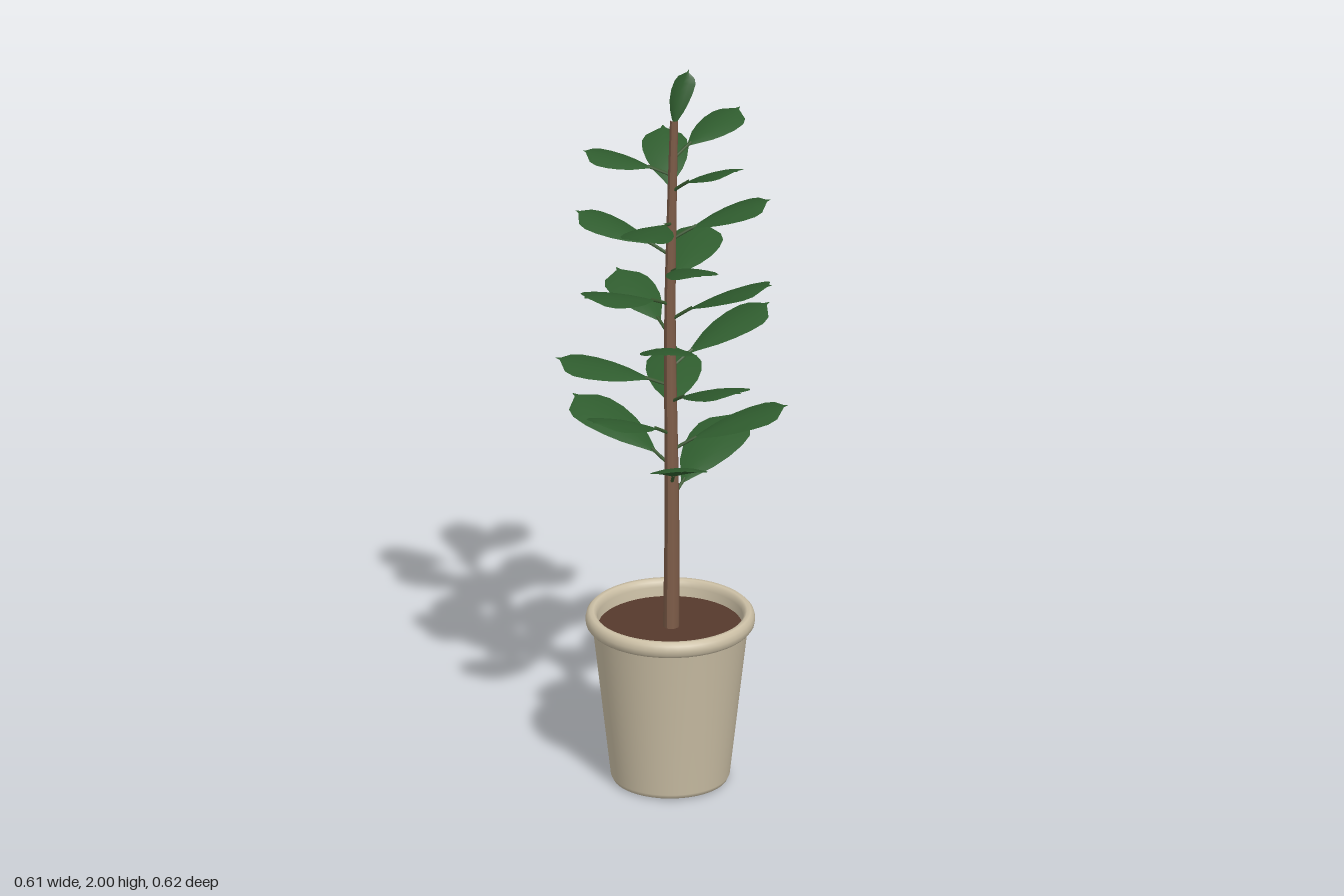
import * as THREE from 'three';

const mat = (color, side = THREE.FrontSide) => new THREE.MeshStandardMaterial({ color, side, roughness: 0.8 });
const V = (x, y, z) => new THREE.Vector3(x, y, z);
const CX = 0.02, CZ = 0.02; // axis of the pot

// Leaf tips, spiralling up the stem by the golden angle
const LEAF_TIPS = [
  [0.015, 0.91, -0.315], [0.215, 1.01, 0.275], [-0.305, 1.0, -0.02], [0.27, 1.05, -0.16],
  [-0.04, 1.1, 0.305], [-0.135, 1.09, -0.25], [0.305, 1.2, 0.13], [-0.26, 1.17, 0.135],
  [0.165, 1.29, -0.235], [0.165, 1.33, 0.275], [-0.23, 1.34, -0.115], [0.305, 1.45, -0.025],
  [-0.08, 1.44, 0.285], [-0.06, 1.45, -0.275], [0.225, 1.54, 0.2], [-0.24, 1.57, 0.07],
  [0.225, 1.63, -0.145], [0.085, 1.64, 0.285], [-0.135, 1.74, -0.19], [0.26, 1.8, 0.07],
  [-0.19, 1.77, 0.115], [0.08, 1.83, -0.225],
];

// Half-width of the blade along its length: [position, width]
const BLADE = [[0, 0.06], [0.1, 0.3], [0.25, 0.64], [0.42, 0.88], [0.6, 1], [0.76, 0.98], [0.86, 0.78], [0.95, 0.1], [1, 0.01]];
const ACROSS = [-1, -0.5, 0, 0.5, 1];

// Blade lofted along part of a curve, with raised edges
function bladeGeometry(curve, start, halfWidth, side, lift) {
  const pos = [], index = [], n = ACROSS.length;
  BLADE.forEach(([s, w], i) => {
    const t = start + (1 - start) * s;
    const p = curve.getPoint(t);
    const up = side.clone().cross(curve.getTangent(t)).normalize();
    for (const u of ACROSS) {
      const q = p.clone().addScaledVector(side, u * w * halfWidth).addScaledVector(up, lift * u * u * w);
      pos.push(q.x, q.y, q.z);
    }
    if (i === 0) return;
    for (let j = 0; j < n - 1; j++) {
      const a = (i - 1) * n + j, b = a + n;
      index.push(a, b, a + 1, a + 1, b, b + 1);
    }
  });
  const g = new THREE.BufferGeometry();
  g.setAttribute('position', new THREE.Float32BufferAttribute(pos, 3));
  g.setIndex(index);
  g.computeVertexNormals();
  return g;
}

export function createModel() {
  const model = new THREE.Group();
  const add = (name, geometry, material, parent = model) => {
    const m = new THREE.Mesh(geometry, material);
    m.name = name;
    parent.add(m);
    return m;
  };
  const clay = mat(0xcbbfa5), earth = mat(0x56392c), bark = mat(0x7d5c48);
  const leafMat = mat(0x2f5c2e, THREE.DoubleSide), petioleMat = mat(0x3a5a30);

  // Tapered pot with a rounded rim
  const profile = [
    [0, 0], [0.14, 0], [0.15, 0.004], [0.155, 0.015], [0.202, 0.43], [0.212, 0.432], [0.219, 0.44],
    [0.221, 0.453], [0.218, 0.466], [0.21, 0.474], [0.2, 0.474], [0.193, 0.468], [0.19, 0.455], [0.186, 0.41],
  ].map(([r, y]) => new THREE.Vector2(r, y));
  add('pot', new THREE.LatheGeometry(profile, 48), clay).position.set(CX, 0, CZ);

  // Soil
  const soil = add('soil', new THREE.CircleGeometry(0.19, 40), earth);
  soil.rotation.x = -Math.PI / 2;
  soil.position.set(CX, 0.43, CZ);

  // Slightly bent stem, tapered by drawing its rings toward the centre line
  const stemCurve = new THREE.CatmullRomCurve3([
    V(0.023, 0.42, 0.02), V(0.025, 0.75, 0.02), V(0.016, 1.3, 0.015), V(0.02, 1.6, 0.013), V(0.028, 1.87, 0.014),
  ]);
  const rings = 24, sides = 8;
  const stem = new THREE.TubeGeometry(stemCurve, rings, 0.022, sides);
  const sp = stem.attributes.position, v = V(0, 0, 0);
  for (let i = 0; i < sp.count; i++) {
    const t = Math.floor(i / (sides + 1)) / rings;
    const c = stemCurve.getPointAt(t);
    v.fromBufferAttribute(sp, i).sub(c).multiplyScalar(1 - 0.5 * t).add(c);
    sp.setXYZ(i, v.x, v.y, v.z);
  }
  stem.computeVertexNormals();
  add('stem', stem, bark);

  // Leaves: a thin petiole running into an arched blade
  const leaves = new THREE.Group();
  leaves.name = 'leaves';
  model.add(leaves);
  LEAF_TIPS.forEach(([x, y, z], i) => {
    const baseY = 0.79 + 0.046 * i;
    const base = stemCurve.getPointAt((baseY - 0.42) / 1.45);
    const tip = V(x, y, z);
    const bend = base.clone().lerp(tip, 0.5);
    bend.y = base.y + (tip.y - base.y) * 0.8;
    const curve = new THREE.QuadraticBezierCurve3(base, bend, tip);
    const reach = Math.hypot(x - base.x, z - base.z);
    const side = V(z - base.z, 0, base.x - x).normalize().negate();
    const leaf = new THREE.Group();
    leaf.name = 'leaf' + (i + 1);
    leaves.add(leaf);
    const start = 0.055 / reach;
    const stalk = new THREE.QuadraticBezierCurve3(base, base.clone().lerp(bend, start * 1.2), curve.getPoint(start * 1.2));
    add('petiole', new THREE.TubeGeometry(stalk, 3, 0.0045, 5), petioleMat, leaf);
    add('blade', bladeGeometry(curve, start, 0.235 * reach, side.negate(), 0.012), leafMat, leaf);
  });

  // Young upright leaf at the top of the stem
  const budCurve = new THREE.QuadraticBezierCurve3(V(0.028, 1.855, 0.014), V(0.026, 1.93, 0.005), V(0.044, 2, -0.033));
  add('topLeaf', bladeGeometry(budCurve, 0, 0.031, V(-1, 0, 0.1).normalize(), 0.012), leafMat);

  return model;
}
